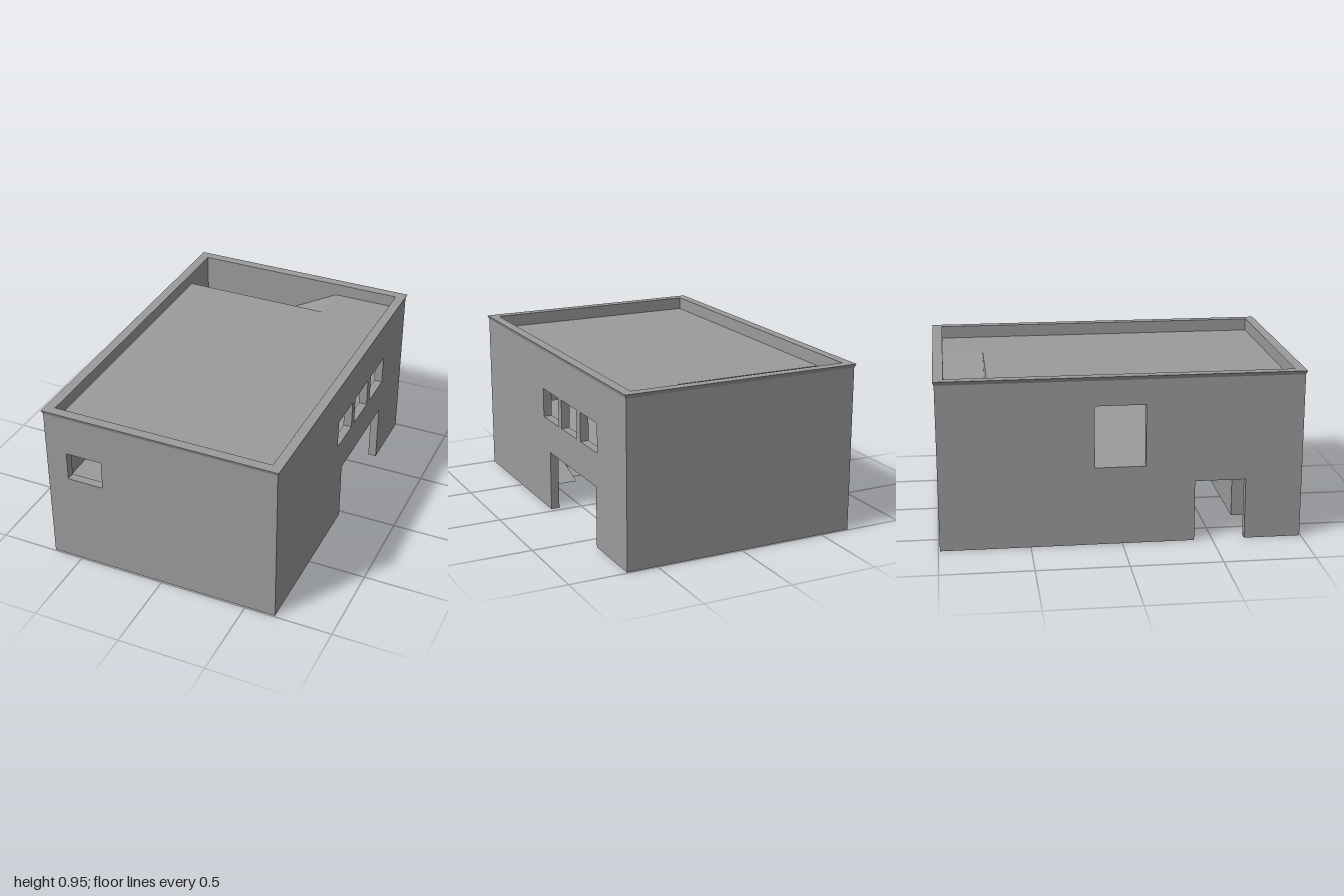
import * as THREE from 'three';

const material = new THREE.MeshStandardMaterial({
  color: 0x9b9b9b, flatShading: true, side: THREE.DoubleSide,
});

// Outer half sizes, wall thickness and levels
const X = 0.673, Z = 0.992, T = 0.048;
const IX = X - T, IZ = Z - T;
const WALL_TOP = 0.925, TOP = 0.946, FLOOR = 0.44, ROOF = 0.875;

function polygon(points) {
  return new THREE.Shape(points.map(([a, b]) => new THREE.Vector2(a, b)));
}

function rectangle(a0, b0, a1, b1) {
  return polygon([[a0, b0], [a1, b0], [a1, b1], [a0, b1]]);
}

function extrude(shape, depth) {
  return new THREE.ExtrudeGeometry(shape, { depth, bevelEnabled: false });
}

function add(group, name, geometry, x = 0, y = 0, z = 0) {
  const mesh = new THREE.Mesh(geometry, material);
  mesh.name = name;
  mesh.position.set(x, y, z);
  group.add(mesh);
}

// Hollow wall, open underneath, with an optional doorway [from, to, height] and windows
function wall(half, door, openings = []) {
  const points = [[-half, 0]];
  if (door) {
    const [a, b, h] = door;
    points.push([a, 0], [a, h], [b, h], [b, 0]);
  }
  points.push([half, 0], [half, WALL_TOP], [-half, WALL_TOP]);
  const shape = polygon(points);
  for (const o of openings) shape.holes.push(rectangle(...o));

  // Leave out the triangles lying on the ground
  const source = extrude(shape, T).attributes.position.array;
  const kept = [];
  for (let i = 0; i < source.length; i += 9) {
    if (Math.max(source[i + 1], source[i + 4], source[i + 7]) > 0.001) {
      kept.push(...source.slice(i, i + 9));
    }
  }
  const geometry = new THREE.BufferGeometry();
  geometry.setAttribute('position', new THREE.Float32BufferAttribute(kept, 3));
  geometry.computeVertexNormals();
  return geometry;
}

// Profile drawn in (z, y), extruded towards -x
function sideways(shape, depth) {
  return extrude(shape, depth).rotateY(-Math.PI / 2);
}

// Plan drawn in (x, z), extruded downwards
function slab(points, depth) {
  return extrude(polygon(points), depth).rotateX(Math.PI / 2);
}

// One storey of ramped stairs: short approach, corner landing, long flight, enclosing walls
function createStairs(name, rise) {
  const stairs = new THREE.Group();
  stairs.name = name;
  const landing = 0.1, turn = -0.385, end = 0.245, inner = -0.71, t = 0.035;
  const ceiling = rise - 0.04;
  add(stairs, 'landingAndFlight', extrude(polygon([
    [-IX, landing], [turn, landing], [end, rise], [end, ceiling],
    [turn + 0.015, landing - t], [-IX, landing - t],
  ]), inner + IZ), 0, 0, -IZ);
  add(stairs, 'approachRamp', sideways(polygon([
    [-0.41, 0], [inner, landing], [inner, landing - t], [-0.51, 0],
  ]), IX + turn), turn, 0, 0);
  add(stairs, 'approachSide', sideways(polygon([
    [-0.41, 0], [inner, landing], [inner, 0],
  ]), 0.03), turn + 0.03, 0, 0);
  add(stairs, 'partition', extrude(rectangle(turn, 0, 0.32, ceiling), 0.03), 0, 0, inner);
  add(stairs, 'partitionPost', extrude(rectangle(turn, 0, turn + 0.03, ceiling), 0.04), 0, 0, inner + 0.03);
  add(stairs, 'endWall', extrude(rectangle(end, 0, 0.32, ceiling), inner + IZ), 0, 0, -IZ);
  return stairs;
}

export function createModel() {
  const model = new THREE.Group();
  model.name = 'building';

  // Side walls with doorways and windows
  const windows = [[-0.105, 0.114], [-0.36, -0.15], [-0.63, -0.41]]
    .map(([a, b]) => [a, 0.535, b, 0.70]);
  add(model, 'leftWall', wall(Z, [-0.61, 0.03, 0.343], windows).rotateY(-Math.PI / 2), X);
  add(model, 'rightWall',
    wall(Z, [0.40, 0.68, 0.343], [[-0.15, FLOOR, 0.13, 0.785]]).rotateY(-Math.PI / 2), -IX);

  // Front and back walls
  add(model, 'frontWall', wall(IX, null, [[-0.55, 0.535, -0.34, 0.70]]), 0, 0, IZ);
  add(model, 'backWall', wall(IX), 0, 0, -Z);

  // Coping around the parapet, flaring outwards at its top
  const ring = rectangle(-X, -Z, X, Z);
  ring.holes.push(rectangle(-IX, -IZ, IX, IZ));
  const coping = extrude(ring, TOP - WALL_TOP).rotateX(-Math.PI / 2);
  const p = coping.attributes.position;
  for (let i = 0; i < p.count; i++) {
    const outside = Math.abs(p.getX(i)) > IX + 0.01;
    if (outside && p.getY(i) > 0.01) {
      p.setX(i, p.getX(i) + 0.008 * Math.sign(p.getX(i)));
      p.setZ(i, p.getZ(i) + 0.008 * Math.sign(p.getZ(i)));
    }
  }
  coping.computeVertexNormals();
  add(model, 'coping', coping, 0, WALL_TOP, 0);

  // Roof and middle floor, each with a stair opening at one corner
  const plan = [[-IX, IZ], [IX, IZ], [IX, -IZ], [0.245, -IZ], [0.245, -0.71], [-IX, -0.71]];
  add(model, 'roof', slab(plan, 0.04), 0, ROOF, 0);
  add(model, 'middleFloor', slab(plan.map(([x, z]) => [-x, -z]), 0.04), 0, FLOOR, 0);

  // Upper stairs at the back, lower stairs turned half round at the front
  const upper = createStairs('upperStairs', ROOF - FLOOR);
  upper.position.y = FLOOR;
  const lower = createStairs('lowerStairs', FLOOR);
  lower.rotation.y = Math.PI;
  model.add(upper, lower);

  return model;
}
